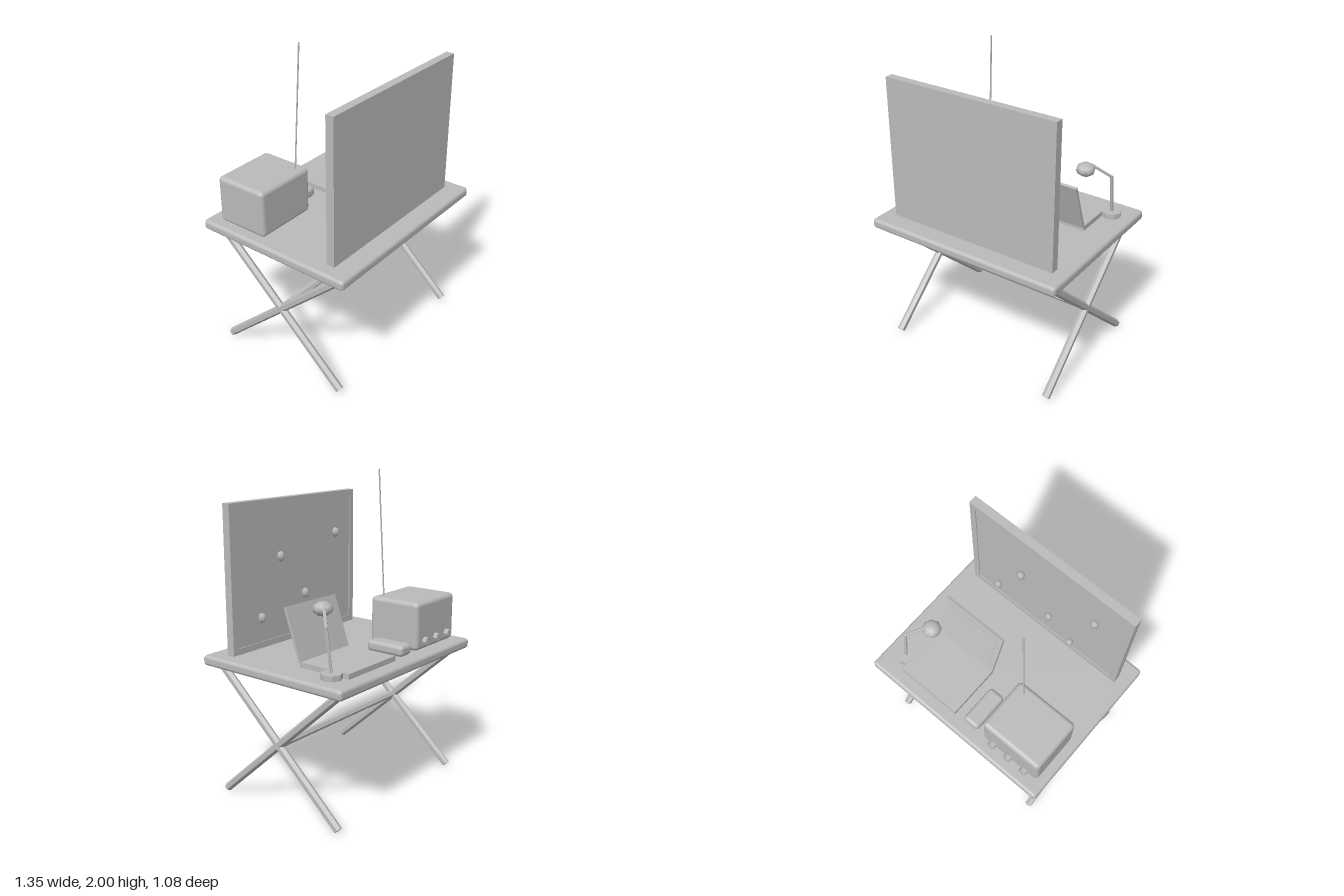
import * as THREE from 'three';
import { RoundedBoxGeometry } from 'three/addons/geometries/RoundedBoxGeometry.js';

const grey = new THREE.MeshStandardMaterial({ color: 0xbababa });
grey.name = 'plain grey';
const facetedGrey = grey.clone();
facetedGrey.flatShading = true;

export function createModel() {
  const model = new THREE.Group();
  model.name = 'fieldDesk';

  const add = (name, geometry, parent = model, material = grey) => {
    const mesh = new THREE.Mesh(geometry, material);
    mesh.name = name;
    parent.add(mesh);
    return mesh;
  };
  // Boxes given by their [min, max] range on each axis
  const size = (r) => r[1] - r[0];
  const mid = (r) => (r[0] + r[1]) / 2;
  const box = (name, x, y, z, radius = 0, parent = model) => {
    const g = radius
      ? new RoundedBoxGeometry(size(x), size(y), size(z), 3, radius)
      : new THREE.BoxGeometry(size(x), size(y), size(z));
    const mesh = add(name, g, parent);
    mesh.position.set(mid(x), mid(y), mid(z));
    return mesh;
  };
  // Straight rod between two points
  const rod = (name, from, to, radius, sides = 6) => {
    const a = new THREE.Vector3(...from), b = new THREE.Vector3(...to);
    const dir = b.clone().sub(a);
    const mesh = add(name, new THREE.CylinderGeometry(radius, radius, dir.length(), sides), model, facetedGrey);
    mesh.position.copy(a).add(b).multiplyScalar(0.5);
    mesh.quaternion.setFromUnitVectors(new THREE.Vector3(0, 1, 0), dir.normalize());
    return mesh;
  };

  // Folding table
  box('tableTop', [-0.675, 0.675], [0.84, 0.905], [-0.538, 0.538], 0.022);
  for (const x of [-0.585, 0.585]) {
    for (const s of [-1, 1]) {
      rod('crossedLeg', [x, 0.02, s * 0.45], [x, 0.832, -s * 0.45], 0.026);
    }
  }
  rod('stretcher', [-0.585, 0.428, 0], [0.585, 0.428, 0], 0.023);

  // Notice board, with a shallow raised frame on its back
  box('noticeBoard', [-0.586, 0.583], [0.905, 1.825], [0.365, 0.412]);
  for (const y of [[0.905, 0.945], [1.785, 1.825]]) box('boardFrameRail', [-0.586, 0.583], y, [0.359, 0.365]);
  for (const x of [[-0.586, -0.546], [0.543, 0.583]]) box('boardFrameStile', x, [0.945, 1.785], [0.359, 0.365]);

  // Pins
  const pins = [[-0.363, 1.557], [0.178, 1.467], [-0.05, 1.196], [0.357, 1.106], [-0.226, 1.058]];
  for (const [x, y] of pins) {
    const pin = add('pin', new THREE.SphereGeometry(1, 6, 4));
    pin.scale.set(0.028, 0.034, 0.025);
    pin.position.set(x, y, 0.334);
  }

  // Radio with knobs and aerial
  box('radioBody', [-0.613, -0.186], [0.905, 1.21], [-0.449, -0.094], 0.028);
  for (const x of [-0.523, -0.397, -0.272]) {
    const knob = add('radioKnob', new THREE.CylinderGeometry(0.026, 0.026, 0.04, 8), model, facetedGrey);
    knob.rotation.x = Math.PI / 2;
    knob.position.set(x, 0.96, -0.457);
  }
  rod('radioAerial', [-0.256, 1.19, -0.147], [-0.217, 2, -0.126], 0.005);

  // Low rounded handset beside the radio
  box('handset', [-0.137, -0.024], [0.905, 0.975], [-0.449, -0.184], 0.025);

  // Laptop, opening towards the back
  box('laptopBase', [0.042, 0.492], [0.905, 0.938], [-0.451, -0.09]);
  const lid = new THREE.Group();
  lid.name = 'laptopLid';
  lid.position.set(0.267, 0.932, -0.09);
  lid.rotation.x = 0.335;
  model.add(lid);
  box('lidPanel', [-0.225, 0.225], [0, 0.334], [-0.009, 0.009], 0, lid);
  box('screen', [-0.187, 0.187], [0.035, 0.3], [-0.012, -0.009], 0, lid);

  // Desk lamp
  const base = add('lampBase', new THREE.CylinderGeometry(0.064, 0.064, 0.034, 8), model, facetedGrey);
  base.position.set(0.536, 0.922, -0.363);
  rod('lampLowerArm', [0.538, 0.93, -0.363], [0.538, 1.197, -0.326], 0.01);
  rod('lampUpperArm', [0.538, 1.192, -0.328], [0.44, 1.29, -0.23], 0.01);
  const head = add('lampHead', new THREE.SphereGeometry(1, 8, 6));
  head.scale.set(0.061, 0.043, 0.061);
  head.position.set(0.421, 1.26, -0.207);

  return model;
}
